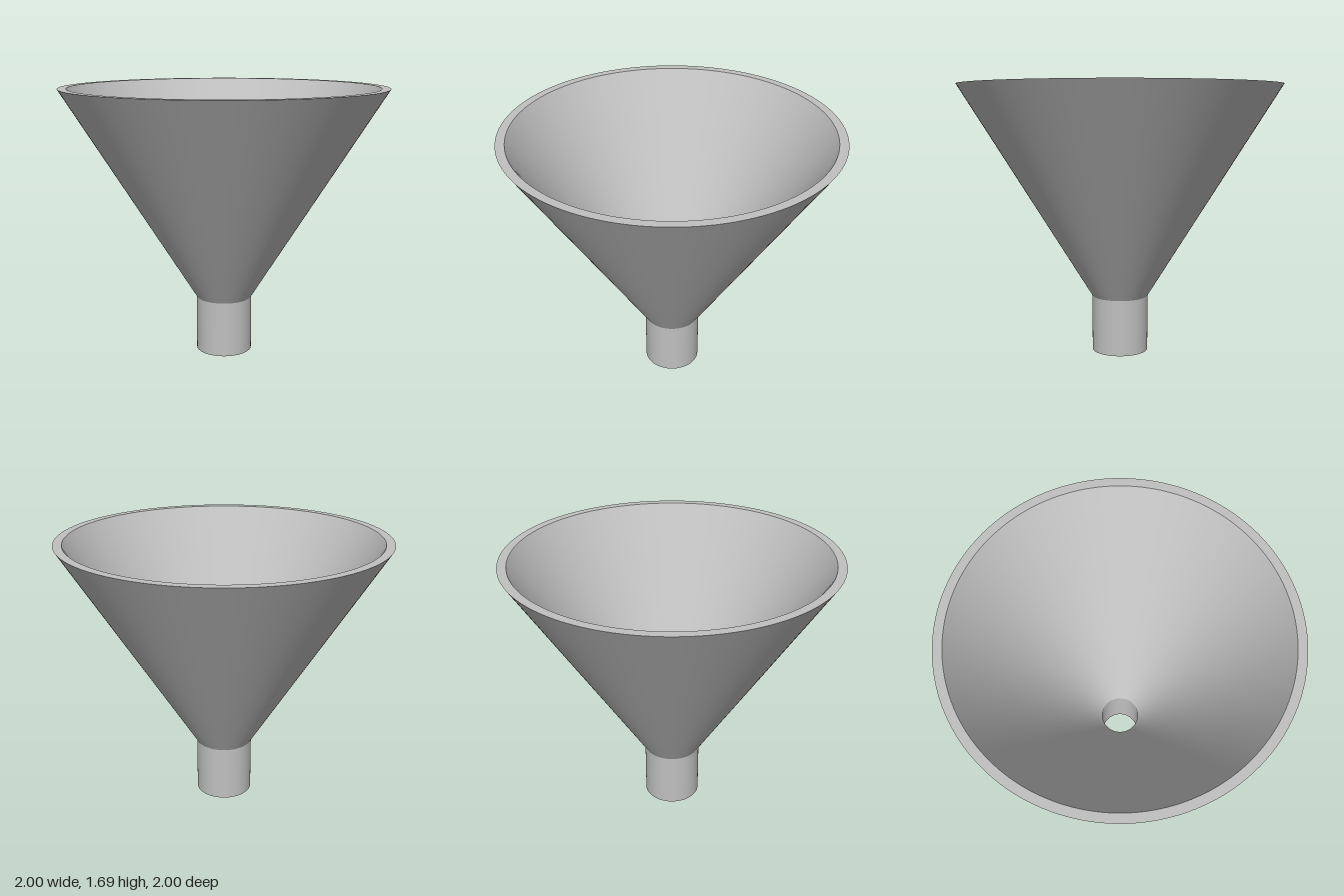
import * as THREE from 'three';

export function createModel() {
  const group = new THREE.Group();
  group.name = 'funnel';
  const grey = new THREE.MeshStandardMaterial({ color: 0xc0c0c0 });
  grey.name = 'grey';

  // Key corners of the wall section, as [radius, height]
  const spoutOuterBottom = [0.177, 0], spoutOuterTop = [0.177, 0.355];
  const rimOuter = [1, 1.69], rimInner = [0.947, 1.69];
  const spoutInnerTop = [0.123, 0.355], spoutInnerBottom = [0.123, 0];

  // Each straight run is its own lathe, so the edges between runs stay sharp
  const addRing = (name, from, to) => {
    const profile = [from, to].map(([r, y]) => new THREE.Vector2(r, y));
    const mesh = new THREE.Mesh(new THREE.LatheGeometry(profile, 128), grey);
    mesh.name = name;
    group.add(mesh);
  };

  addRing('spoutOuterWall', spoutOuterBottom, spoutOuterTop);
  addRing('coneOuterWall', spoutOuterTop, rimOuter);
  addRing('rim', rimOuter, rimInner);
  addRing('coneInnerWall', rimInner, spoutInnerTop);
  addRing('spoutInnerWall', spoutInnerTop, spoutInnerBottom);
  addRing('spoutBottom', spoutInnerBottom, spoutOuterBottom);
  return group;
}
